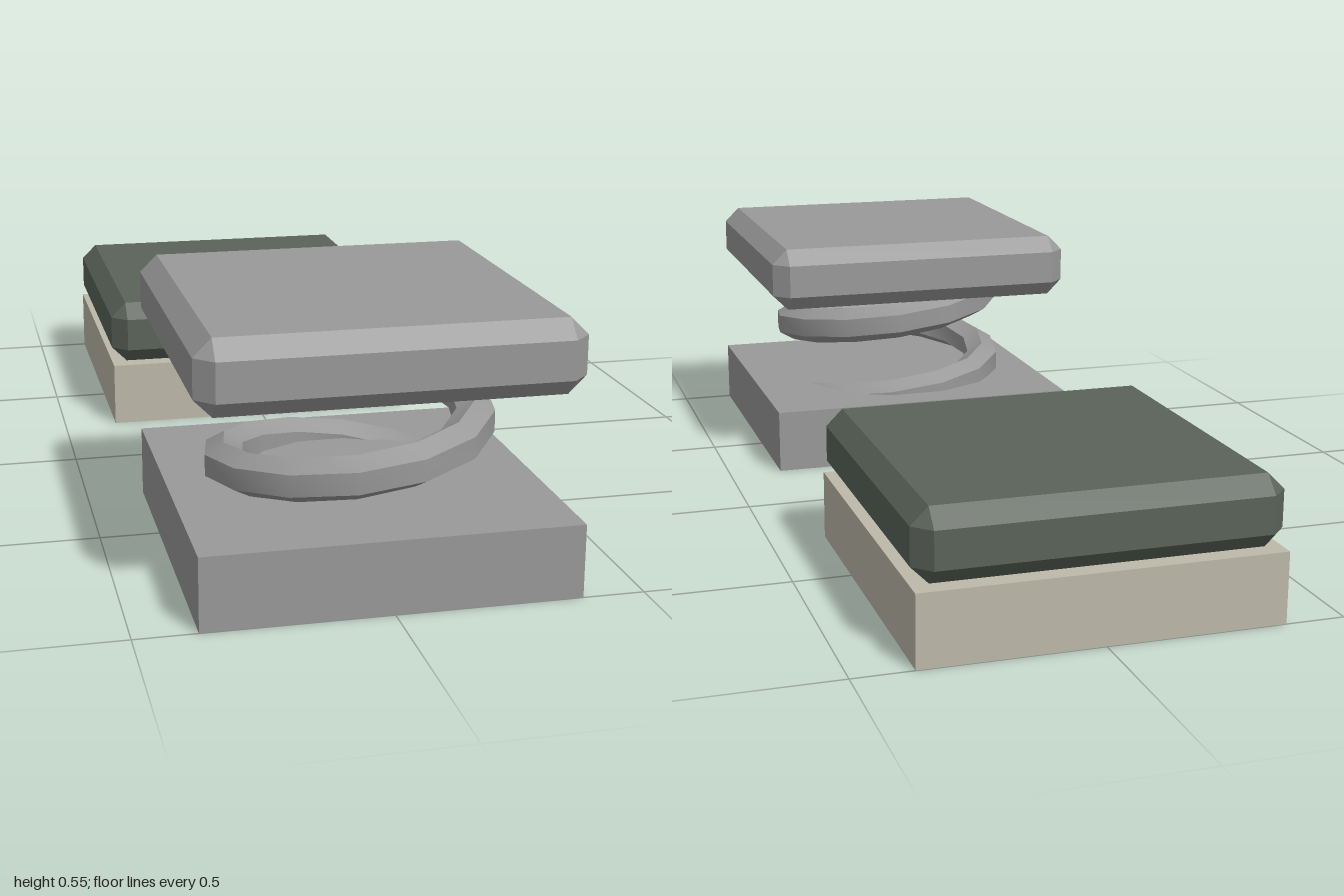
import * as THREE from 'three';
import { toCreasedNormals } from 'three/addons/utils/BufferGeometryUtils.js';
import { ConvexGeometry } from 'three/addons/geometries/ConvexGeometry.js';

const SIZE = 0.75, HEIGHT = 0.15, Z = 0.625;

// Box with every edge and corner chamfered
function chamferedBox(w, h, d, c) {
  const points = [];
  for (const sx of [-1, 1]) for (const sy of [-1, 1]) for (const sz of [-1, 1]) {
    const x = w / 2, y = h / 2, z = d / 2;
    points.push(
      new THREE.Vector3(sx * x, sy * (y - c), sz * (z - c)),
      new THREE.Vector3(sx * (x - c), sy * y, sz * (z - c)),
      new THREE.Vector3(sx * (x - c), sy * (y - c), sz * z)
    );
  }
  return new ConvexGeometry(points);
}

// Hexagonal wire swept along a helix, smooth lengthwise and creased around
function coilGeometry({ radius, wire, pitch, midY, start, end, perTurn }) {
  const sides = 6, steps = Math.round((end - start) * perTurn);
  const pos = [], index = [];
  for (let i = 0; i <= steps; i++) {
    const turn = start + (end - start) * i / steps, a = turn * Math.PI * 2;
    for (let k = 0; k < sides; k++) {
      const t = (k + 0.5) / sides * Math.PI * 2;
      const r = radius + wire * Math.cos(t);
      pos.push(r * Math.sin(a), midY + pitch * turn + wire * Math.sin(t), r * Math.cos(a));
      if (i === steps) continue;
      const p = i * sides + k, q = i * sides + (k + 1) % sides;
      index.push(p, p + sides, q, q, p + sides, q + sides);
    }
  }
  // End caps
  const last = steps * sides;
  for (let k = 1; k < sides - 1; k++) {
    index.push(0, k, k + 1, last, last + k + 1, last + k);
  }
  const geo = new THREE.BufferGeometry();
  geo.setAttribute('position', new THREE.Float32BufferAttribute(pos, 3));
  geo.setIndex(index);
  return toCreasedNormals(geo, 0.7);
}

export function createModel() {
  const material = (name, color) => {
    const m = new THREE.MeshStandardMaterial({ color });
    m.name = name;
    return m;
  };
  const grey = material('grey metal', 0x999999);
  const green = material('dark green', 0x5a6359);
  const beige = material('beige', 0xbdb9aa);

  const block = new THREE.BoxGeometry(SIZE, HEIGHT, SIZE);
  const plate = chamferedBox(SIZE, HEIGHT, SIZE, 0.036);
  const add = (group, name, geometry, mat, y) => {
    const mesh = new THREE.Mesh(geometry, mat);
    mesh.name = name;
    mesh.position.y = y;
    group.add(mesh);
  };

  // Raised spring pad
  const springPad = new THREE.Group();
  springPad.name = 'springPad';
  springPad.position.z = Z;
  add(springPad, 'springBase', block, grey, HEIGHT / 2);
  add(springPad, 'springTopPlate', plate, grey, 0.477);
  add(springPad, 'coilSpring', coilGeometry({
    radius: 0.26, wire: 0.045, pitch: 0.2, midY: 0.242, start: -0.75, end: 1.2, perTurn: 14
  }), grey, 0);

  // Low pressed pad
  const lowPad = new THREE.Group();
  lowPad.name = 'lowPad';
  lowPad.position.z = -Z;
  add(lowPad, 'lowBase', block, beige, HEIGHT / 2);
  add(lowPad, 'lowTopPlate', plate, green, 0.227);

  const model = new THREE.Group();
  model.name = 'springPads';
  model.add(springPad, lowPad);
  return model;
}
